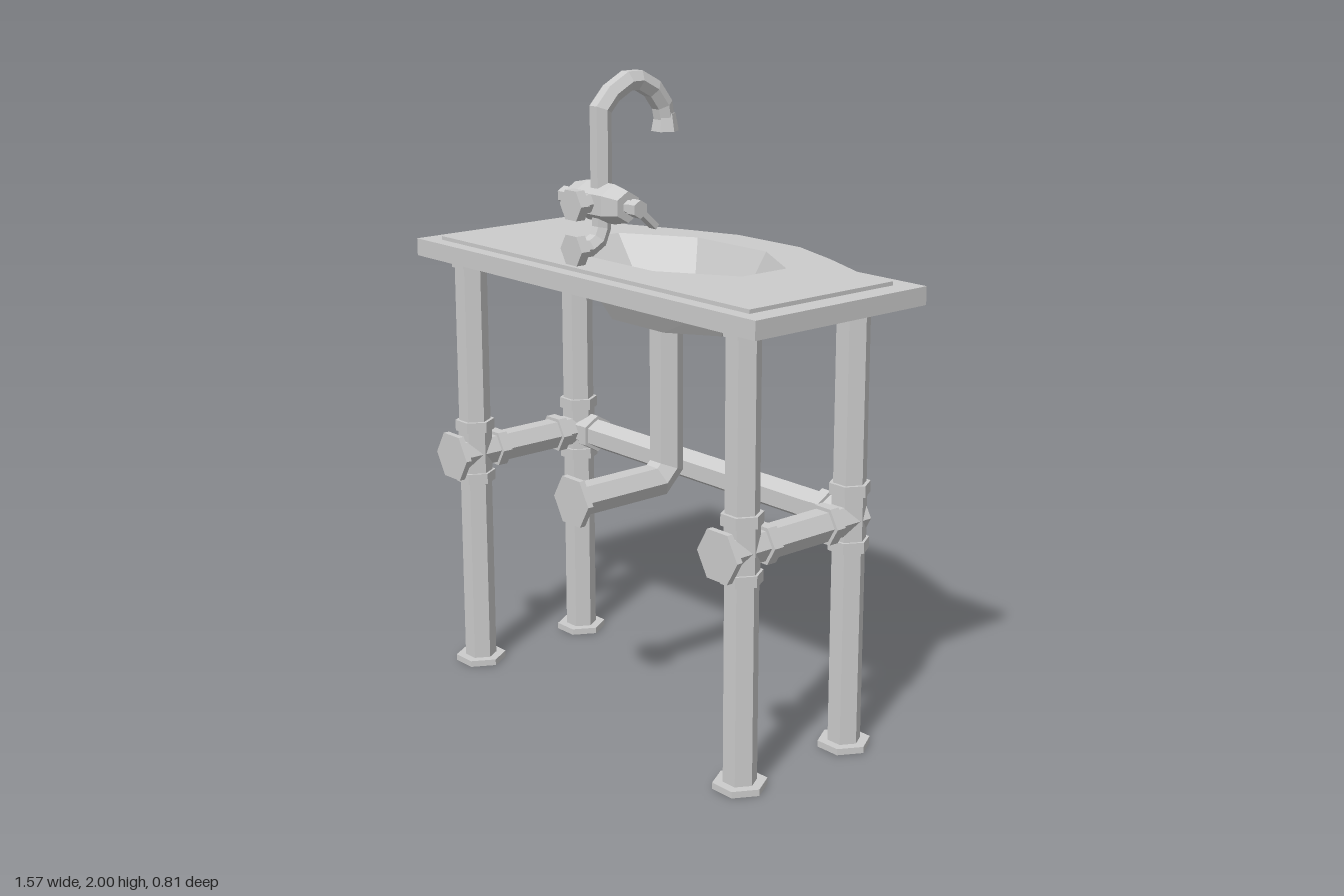
import * as THREE from 'three';

const material = new THREE.MeshStandardMaterial({ color: 0xcccccc, flatShading: true });
const V = (x, y, z) => new THREE.Vector3(x, y, z);

function add(parent, name, geometry) {
  const mesh = new THREE.Mesh(geometry, material);
  mesh.name = name;
  parent.add(mesh);
  return mesh;
}

function group(parent, name, x = 0, y = 0, z = 0) {
  const g = new THREE.Group();
  g.name = name;
  g.position.set(x, y, z);
  parent.add(g);
  return g;
}

// Skin a series of equal-sized rings and close both ends
function loft(rings) {
  const n = rings[0].length, pos = [], index = [];
  rings.flat().forEach(p => pos.push(p.x, p.y, p.z));
  for (let i = 0; i < rings.length - 1; i++) {
    for (let j = 0; j < n; j++) {
      const a = i * n + j, b = i * n + (j + 1) % n;
      index.push(a, b, b + n, a, b + n, a + n);
    }
  }
  const last = (rings.length - 1) * n;
  for (let j = 1; j < n - 1; j++) {
    index.push(0, j + 1, j, last, last + j, last + j + 1);
  }
  const g = new THREE.BufferGeometry();
  g.setAttribute('position', new THREE.Float32BufferAttribute(pos, 3));
  g.setIndex(index);
  const flat = g.toNonIndexed();
  flat.computeVertexNormals();
  return flat;
}

// Six-sided rod between two stations on one axis
function rod(parent, name, axis, from, to, r0, r1 = r0, at = [0, 0]) {
  const g = new THREE.CylinderGeometry(r1, r0, to - from, 6);
  g.rotateY(Math.PI / 6);
  const mid = (from + to) / 2;
  if (axis === 'y') g.translate(at[0], mid, at[1]);
  if (axis === 'z') g.rotateX(Math.PI / 2).translate(at[0], at[1], mid);
  if (axis === 'x') g.rotateZ(-Math.PI / 2).translate(mid, at[0], at[1]);
  return add(parent, name, g);
}

// Six-sided mitred pipe along [z, y] points
function pipe(path, r) {
  const pts = path.map(([z, y]) => V(0, y, z));
  const rings = pts.map((p, i) => {
    const before = i > 0 ? p.clone().sub(pts[i - 1]).normalize() : null;
    const after = i < pts.length - 1 ? pts[i + 1].clone().sub(p).normalize() : null;
    const a = before || after, b = after || before;
    const t = a.clone().add(b).normalize();
    const v = V(0, t.z, -t.y).multiplyScalar(1 / t.dot(a));
    return Array.from({ length: 6 }, (_, k) => {
      const w = k * Math.PI / 3;
      return p.clone().addScaledVector(V(1, 0, 0), r * Math.cos(w)).addScaledVector(v, r * Math.sin(w));
    });
  });
  return loft(rings);
}

// Eight-sided basin ring: half width, half flat, z extents and side z extents
function octagon(y, X, F, z0, z1, s0, s1) {
  return [[F, z1], [X, s1], [X, s0], [F, z0], [-F, z0], [-X, s0], [-X, s1], [-F, z1]]
    .map(([x, z]) => V(x, y, z));
}

// Horizontal slab with a bowed edge and a hole for the basin
function slab(top, depth, outline, hole) {
  const shape = new THREE.Shape(outline.map(([x, z]) => new THREE.Vector2(x, z)));
  shape.holes.push(new THREE.Path(hole.map(p => new THREE.Vector2(p.x, p.z))));
  const g = new THREE.ExtrudeGeometry(shape, { depth, bevelEnabled: false });
  return g.rotateX(Math.PI / 2).translate(0, top, 0);
}

export function createModel() {
  const model = new THREE.Group();
  model.name = 'washstand';

  // Countertop and raised panel
  const rim = octagon(1.432, 0.398, 0.163, -0.245, 0.227, -0.105, 0.083);
  const top = group(model, 'countertop');
  add(top, 'counterSlab', slab(1.42, 0.055, [
    [-0.787, 0.405], [0.787, 0.405], [0.787, -0.265], [0.515, -0.265], [0.33, -0.342],
    [0.13, -0.41], [-0.152, -0.41], [-0.35, -0.342], [-0.535, -0.265], [-0.787, -0.265]], rim));
  add(top, 'raisedPanel', slab(1.432, 0.012, [
    [-0.713, 0.36], [0.717, 0.36], [0.717, -0.2], [0.45, -0.2], [0.285, -0.268],
    [0.105, -0.335], [-0.127, -0.335], [-0.305, -0.268], [-0.467, -0.2], [-0.713, -0.2]], rim));

  // Basin shell, from the underside up over the rim and down inside
  add(model, 'basin', loft([
    octagon(1.23, 0.27, 0.12, -0.168, 0.147, -0.085, 0.05),
    octagon(1.365, 0.385, 0.158, -0.24, 0.222, -0.1, 0.08),
    rim,
    octagon(1.432, 0.386, 0.157, -0.237, 0.219, -0.1, 0.078),
    octagon(1.245, 0.238, 0.1, -0.17, 0.112, -0.085, 0.035),
  ]));

  // Drain pipe with collar, plug ring and wall flange
  const drain = group(model, 'drain', -0.008);
  add(drain, 'drainPipe', pipe([[0.025, 1.25], [0.025, 0.765], [0.065, 0.725], [0.4, 0.725]], 0.052));
  rod(drain, 'drainCollar', 'y', 1.205, 1.235, 0.058, 0.058, [0, 0.025]);
  rod(drain, 'drainPlug', 'y', 1.245, 1.256, 0.036, 0.036, [0, 0.025]);
  rod(drain, 'drainWallFlange', 'z', 0.385, 0.405, 0.083, 0.083, [0, 0.725]);

  // Legs with feet, top caps and pipe tees
  const railY = 0.725, backZ = -0.12, frontZ = 0.31;
  for (const [side, x] of [['right', -0.63], ['left', 0.643]]) {
    for (const [end, z] of [['Front', frontZ], ['Back', backZ]]) {
      const leg = group(model, side + end + 'Leg', x, 0, z);
      rod(leg, 'legPipe', 'y', 0, 1.367, 0.051);
      rod(leg, 'foot', 'y', 0, 0.02, 0.082);
      rod(leg, 'topCap', 'y', 1.34, 1.367, 0.059);
      rod(leg, 'teeBody', 'y', 0.65, 0.81, 0.054);
      rod(leg, 'lowerCollar', 'y', 0.628, 0.662, 0.063);
      rod(leg, 'upperCollar', 'y', 0.8, 0.835, 0.063);
    }
    // Side rail running to the wall
    const rail = group(model, side + 'SideRail', x, railY, 0);
    rod(rail, 'railPipe', 'z', -0.16, 0.4, 0.051);
    rod(rail, 'frontCollar', 'z', 0.207, 0.242, 0.063);
    rod(rail, 'backCollar', 'z', -0.042, -0.008, 0.063);
    rod(rail, 'wallFlange', 'z', 0.385, 0.405, 0.083);
  }

  // Cross rail between the back legs
  const cross = group(model, 'crossRail', 0, railY, backZ);
  rod(cross, 'crossPipe', 'x', -0.63, 0.643, 0.05);
  rod(cross, 'rightCollar', 'x', -0.562, -0.527, 0.062);
  rod(cross, 'leftCollar', 'x', 0.53, 0.565, 0.062);

  // Faucet: gooseneck, mixing body, wall mounts and lever handles
  const faucet = group(model, 'faucet', 0.009);
  add(faucet, 'supplyPipe', pipe([[0.39, 1.495], [0.34, 1.495], [0.305, 1.515], [0.29, 1.55], [0.29, 1.63]], 0.028));
  add(faucet, 'gooseneck', pipe([[0.29, 1.6], [0.29, 1.895], [0.25, 1.938], [0.19, 1.97], [0.15, 1.97],
    [0.093, 1.94], [0.055, 1.89], [0.047, 1.85]], 0.032));
  rod(faucet, 'nozzle', 'y', 1.812, 1.865, 0.042, 0.032, [0, 0.044]);
  rod(faucet, 'lowerWallFlange', 'z', 0.373, 0.405, 0.05, 0.05, [0, 1.495]);
  rod(faucet, 'upperWallFlange', 'z', 0.373, 0.405, 0.05, 0.05, [0, 1.627]);
  rod(faucet, 'upperWallPipe', 'z', 0.29, 0.39, 0.03, 0.03, [0, 1.627]);
  const body = group(faucet, 'mixingBody', 0, 1.625, 0.29);
  rod(body, 'bodyCenter', 'x', -0.06, 0.06, 0.059);
  for (const s of [-1, 1]) {
    const half = group(body, s < 0 ? 'rightValve' : 'leftValve');
    half.rotation.y = s < 0 ? Math.PI : 0;
    rod(half, 'valveTaper', 'x', 0.06, 0.122, 0.059, 0.046);
    rod(half, 'valveStem', 'x', 0.12, 0.15, 0.021);
    rod(half, 'handleHub', 'x', 0.143, 0.177, 0.027);
    const lever = add(half, 'lever', new THREE.BoxGeometry(0.03, 0.018, 0.085));
    lever.position.set(0.16, -0.03, s * -0.034);
    lever.rotation.x = s * -0.72;
  }
  return model;
}
